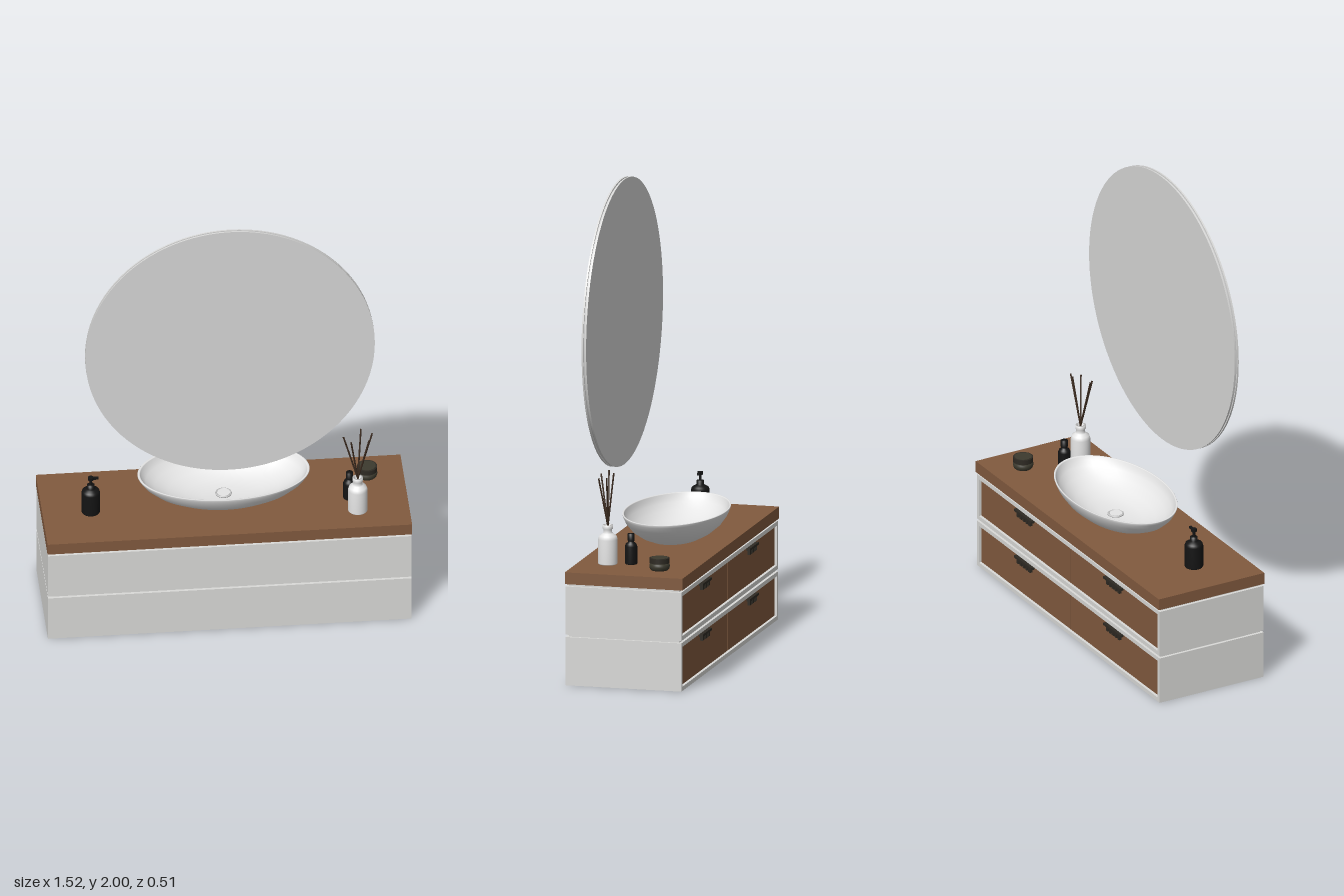
import * as THREE from 'three';

const mat = (name, color) => {
  const m = new THREE.MeshStandardMaterial({ color });
  m.name = name;
  return m;
};

export function createModel() {
  const model = new THREE.Group();
  model.name = 'vanityUnit';

  const white = mat('cabinetWhite', 0xdadad8);
  const mirrorGrey = mat('mirrorGrey', 0xd8d8d7);
  const ceramic = mat('ceramic', 0xe6e6e6);
  const chrome = mat('chrome', 0xc8c8c8);
  const wood = mat('walnut', 0x815a3e);
  const black = mat('black', 0x141414);
  const bronze = mat('bronze', 0x2e2a23);
  const smoked = mat('smokedGlass', 0x3c3a2e);
  const reed = mat('reed', 0x3d2c20);

  const add = (parent, name, geometry, material, x = 0, y = 0, z = 0) => {
    const m = new THREE.Mesh(geometry, material);
    m.name = name;
    m.position.set(x, y, z);
    parent.add(m);
    return m;
  };
  // Box given by its min and max corners
  const box = (parent, name, material, [x0, y0, z0], [x1, y1, z1]) =>
    add(parent, name, new THREE.BoxGeometry(x1 - x0, y1 - y0, z1 - z0), material,
      (x0 + x1) / 2, (y0 + y1) / 2, (z0 + z1) / 2);
  const lathe = (pts, segments = 40) =>
    new THREE.LatheGeometry(pts.map(([r, y]) => new THREE.Vector2(r, y)), segments);
  const group = (name, x = 0, y = 0, z = 0) => {
    const g = new THREE.Group();
    g.name = name;
    g.position.set(x, y, z);
    model.add(g);
    return g;
  };

  // Two stacked drawer cabinets, drawer fronts on the -z side
  const W = 0.76, H = 0.205, T = 0.018, Z0 = -0.25, Z1 = 0.25;
  [['lowerCabinet', 0], ['upperCabinet', 0.215]].forEach(([name, y]) => {
    const cab = group(name, 0, y, 0);
    box(cab, 'bottomBoard', white, [-W, 0, Z0], [W, T, Z1]);
    box(cab, 'topBoard', white, [-W, H - T, Z0], [W, H, Z1]);
    box(cab, 'wallPanel', white, [-W, T, Z1 - T], [W, H - T, Z1]);
    for (const s of [-1, 1]) {
      const side = s < 0 ? 'right' : 'left';
      const xs = [s * W, s * (W - T)].sort((a, b) => a - b);
      box(cab, side + 'Board', white, [xs[0], T, Z0], [xs[1], H - T, Z1 - T]);

      const drawer = new THREE.Group();
      drawer.name = side + 'Drawer';
      drawer.position.x = s * (W - T) / 2;
      cab.add(drawer);
      const half = (W - T) / 2 - 0.002;
      box(drawer, 'drawerFront', wood, [-half, T + 0.002, Z0 + 0.01], [half, H - T - 0.002, Z0 + 0.03]);

      // Pull: a slim bar with short ribs hanging below it
      const top = H - T - 0.008;
      box(drawer, 'pullBar', bronze, [-0.072, top - 0.01, Z0 - 0.006], [0.072, top, Z0 + 0.011]);
      for (let i = -2; i <= 2; i++) {
        box(drawer, 'pullRib', bronze,
          [i * 0.024 - 0.007, top - 0.03, Z0 - 0.002], [i * 0.024 + 0.007, top - 0.009, Z0 + 0.011]);
      }
    }
    box(cab, 'drawerGap', black, [-0.0025, T, Z0 + 0.015], [0.0025, H - T, Z0 + 0.028]);
    // Recessed spacer above each cabinet
    box(cab, 'shadowGap', white, [-W + 0.012, H, Z0 + 0.012], [W - 0.012, H + 0.01, Z1 - 0.012]);
  });

  // Wooden counter
  box(model, 'countertop', wood, [-0.762, 0.43, -0.255], [0.762, 0.48, 0.252]);

  // Oval vessel basin
  const basin = group('basin', 0, 0.48, -0.022);
  const bowl = lathe([
    [0, 0], [0.1, 0.001], [0.17, 0.012], [0.24, 0.034], [0.3, 0.064], [0.338, 0.096],
    [0.355, 0.12], [0.36, 0.13], [0.358, 0.132], [0.351, 0.132], [0.348, 0.129],
    [0.341, 0.115], [0.325, 0.097], [0.288, 0.07], [0.23, 0.044], [0.16, 0.026], [0.09, 0.018], [0, 0.016],
  ], 72);
  bowl.scale(1, 1, 0.592);
  add(basin, 'bowl', bowl, ceramic);
  add(basin, 'drainCap', new THREE.CylinderGeometry(0.027, 0.027, 0.008, 32), ceramic, 0, 0.02, 0);
  const ring = new THREE.TorusGeometry(0.031, 0.004, 8, 36);
  ring.rotateX(Math.PI / 2);
  add(basin, 'drainRing', ring, chrome, 0, 0.021, 0);

  // Round mirror: two discs with a groove between them
  const mirror = group('mirror', 0.004, 1.395, 0.212);
  const disc = (name, r, depth, z, material) => {
    const g = new THREE.CylinderGeometry(r, r, depth, 96);
    g.rotateX(Math.PI / 2);
    add(mirror, name, g, material, 0, 0, z);
  };
  disc('backPlate', 0.605, 0.007, 0.0065, mirrorGrey);
  disc('edgeGroove', 0.599, 0.006, 0, chrome);
  disc('mirrorPlate', 0.605, 0.007, -0.0065, mirrorGrey);

  // Soap dispenser with pump
  const soap = group('soapDispenser', -0.56, 0.48, 0.03);
  add(soap, 'bottle', lathe([
    [0, 0], [0.036, 0], [0.039, 0.004], [0.039, 0.098], [0.035, 0.109], [0.022, 0.117],
    [0.016, 0.12], [0.016, 0.137], [0, 0.137],
  ]), black);
  add(soap, 'pumpStem', new THREE.CylinderGeometry(0.006, 0.006, 0.03, 16), black, 0, 0.15, 0);
  add(soap, 'pumpHead', new THREE.CylinderGeometry(0.012, 0.012, 0.013, 20), black, 0, 0.168, 0);
  box(soap, 'pumpSpout', black, [0, 0.164, -0.005], [0.032, 0.173, 0.005]);

  // Small dark bottle
  const small = group('smallBottle', 0.521, 0.48, 0.032);
  add(small, 'bottle', lathe([
    [0, 0], [0.024, 0], [0.026, 0.003], [0.026, 0.075], [0.022, 0.086], [0.013, 0.093],
    [0.013, 0.098], [0.015, 0.1], [0.015, 0.128], [0, 0.129],
  ], 32), black);

  // Reed diffuser
  const diffuser = group('reedDiffuser', 0.547, 0.48, 0.125);
  add(diffuser, 'bottle', lathe([
    [0, 0], [0.038, 0], [0.041, 0.004], [0.041, 0.105], [0.036, 0.12], [0.022, 0.13],
    [0.018, 0.135], [0.018, 0.148], [0.022, 0.15], [0.022, 0.166], [0.014, 0.166], [0.012, 0.14], [0, 0.14],
  ]), ceramic);
  const tips = [[-0.062, 0.386, 0.012], [-0.032, 0.375, 0.038], [0.016, 0.392, -0.03],
    [0.045, 0.372, 0.028], [0.062, 0.38, -0.012]];
  tips.forEach(([x, y, z]) => {
    const a = new THREE.Vector3(-x * 0.12, 0.135, -z * 0.12), b = new THREE.Vector3(x, y, z);
    add(diffuser, 'reed', new THREE.TubeGeometry(new THREE.LineCurve3(a, b), 1, 0.0035, 8), reed);
  });

  // Low lidded jar
  const jar = group('jar', 0.609, 0.48, -0.115);
  add(jar, 'jarBody', lathe([
    [0, 0], [0.034, 0], [0.04, 0.006], [0.043, 0.016], [0.042, 0.026], [0.037, 0.031], [0, 0.031],
  ]), smoked);
  add(jar, 'jarLid', new THREE.CylinderGeometry(0.042, 0.042, 0.021, 40), bronze, 0, 0.0415, 0);
  add(jar, 'lidInlay', new THREE.CylinderGeometry(0.036, 0.036, 0.004, 40), smoked, 0, 0.0515, 0);

  return model;
}
